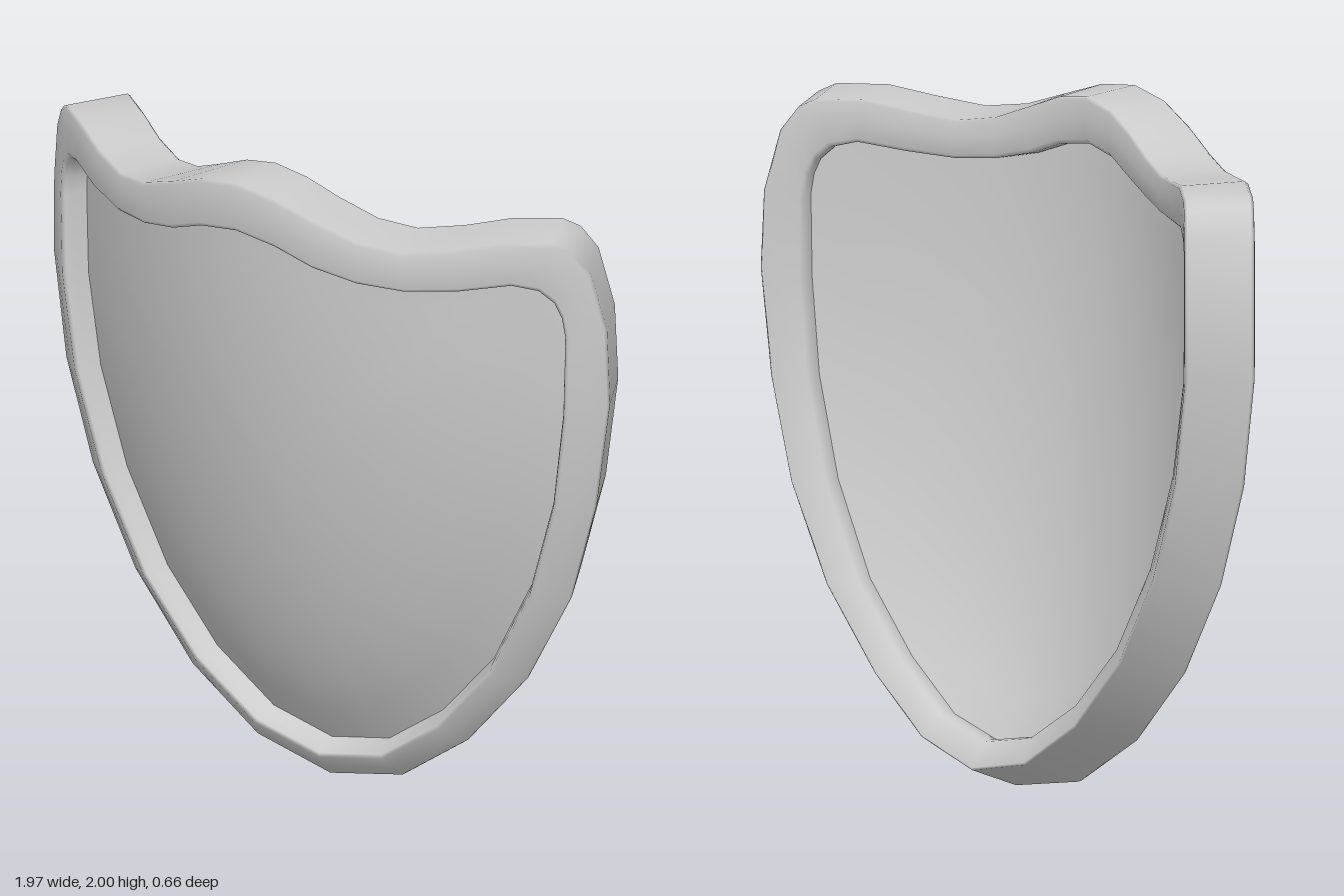
import * as THREE from 'three';
import { mergeVertices } from 'three/addons/utils/BufferGeometryUtils.js';

// Half outline from top centre round to the bottom tip: outer x, y, inner x, y
const HALF = [
  [0, 2.0, 0, 1.85], [0.13, 1.98, 0.13, 1.83], [0.25, 1.935, 0.25, 1.785],
  [0.38, 1.885, 0.38, 1.755], [0.5, 1.865, 0.51, 1.743], [0.63, 1.882, 0.65, 1.753],
  [0.75, 1.907, 0.775, 1.773], [0.87, 1.905, 0.835, 1.755], [0.91, 1.88, 0.87, 1.715],
  [0.95, 1.81, 0.885, 1.67], [0.985, 1.63, 0.892, 1.61], [0.992, 1.4, 0.885, 1.36],
  [0.945, 1.07, 0.845, 1.07], [0.855, 0.76, 0.755, 0.77], [0.7, 0.47, 0.61, 0.49],
  [0.49, 0.225, 0.425, 0.28], [0.26, 0.06, 0.22, 0.135], [0, 0, 0, 0.085],
];
const OUTLINE = [
  ...HALF,
  ...HALF.slice(1, -1).reverse().map(([a, b, c, d]) => [-a, b, -c, d]),
];

// Rim section: fraction from outer to inner edge, depth below the front surface
const SECTION = [
  [0, 0.01], [0.06, 0], [0.45, -0.003], [0.88, -0.004], [0.97, 0.006], [1, 0.03],
  [1, 0.16], [0.96, 0.19], [0.86, 0.205], [0.45, 0.208], [0.05, 0.207], [0, 0.199],
];

// Height of the domed front surface
function dome(x, y) {
  const edge = -0.145;
  const v = THREE.MathUtils.clamp((2 - y) / 2, 0, 1);
  const ridge = 0.325 - 0.47 * (0.75 * v ** 2 + 0.25 * v ** 8);
  const drop = Math.min(1, Math.max(0, 1.4 - y) / 1.4);
  const width = Math.max(0.05, 0.99 * Math.sqrt(1 - drop ** 1.7));
  const s = Math.min(1, Math.abs(x) / width);
  return edge + (ridge - edge) * (1 - s ** 2);
}

// Point at a given depth under the dome, along its normal (tilt eased near the edge)
function under(x, y, depth) {
  const px = x * 0.94, py = Math.max(y, 0.09), e = 0.02;
  const slope = new THREE.Vector2(
    (dome(px - e, py) - dome(px + e, py)) / (2 * e),
    0.8 * (dome(px, py - e) - dome(px, py + e)) / (2 * e),
  );
  slope.divideScalar(Math.hypot(1, slope.length() / 0.75));
  const normal = new THREE.Vector3(slope.x, slope.y, 1).normalize();
  return new THREE.Vector3(x, y, dome(x, y)).addScaledVector(normal, -depth);
}

// Skin of stations along the outline (closed) by steps across it
function skin(steps, closed, point) {
  const n = OUTLINE.length, positions = [], index = [];
  for (let j = 0; j < n; j++) {
    for (let k = 0; k < steps; k++) positions.push(...point(OUTLINE[j], k).toArray());
  }
  for (let j = 0; j < n; j++) {
    for (let k = 0; k < (closed ? steps : steps - 1); k++) {
      const k2 = (k + 1) % steps, j2 = (j + 1) % n;
      const a = j * steps + k, b = j * steps + k2, c = j2 * steps + k2, d = j2 * steps + k;
      index.push(a, b, d, b, c, d);
    }
  }
  const geometry = new THREE.BufferGeometry();
  geometry.setAttribute('position', new THREE.Float32BufferAttribute(positions, 3));
  geometry.setIndex(index);
  const welded = mergeVertices(geometry);
  welded.computeVertexNormals();
  return welded;
}

export function createModel() {
  const group = new THREE.Group();
  group.name = 'shield';
  const material = new THREE.MeshStandardMaterial({ color: 0xcccccc });
  const add = (name, geometry) => {
    const mesh = new THREE.Mesh(geometry, material);
    mesh.name = name;
    group.add(mesh);
  };

  // Thick border with softened edges
  add('rim', skin(SECTION.length, true, ([ox, oy, ix, iy], k) => {
    const [a, depth] = SECTION[k];
    return under(ox + (ix - ox) * a, oy + (iy - oy) * a, depth);
  }));

  // Curved panel: rings shrinking from the inner edge to the middle
  const RINGS = 10, midY = 1.05;
  const ring = (x, y, k, depth) => {
    const s = 1 - k / (RINGS - 1);
    return under(x * s, midY + (y - midY) * s, depth);
  };
  add('panelFront', skin(RINGS, false, ([, , x, y], k) => ring(x, y, k, 0.075)));
  add('panelBack', skin(RINGS, false, ([, , x, y], k) => ring(x, y, RINGS - 1 - k, 0.15)));

  return group;
}
